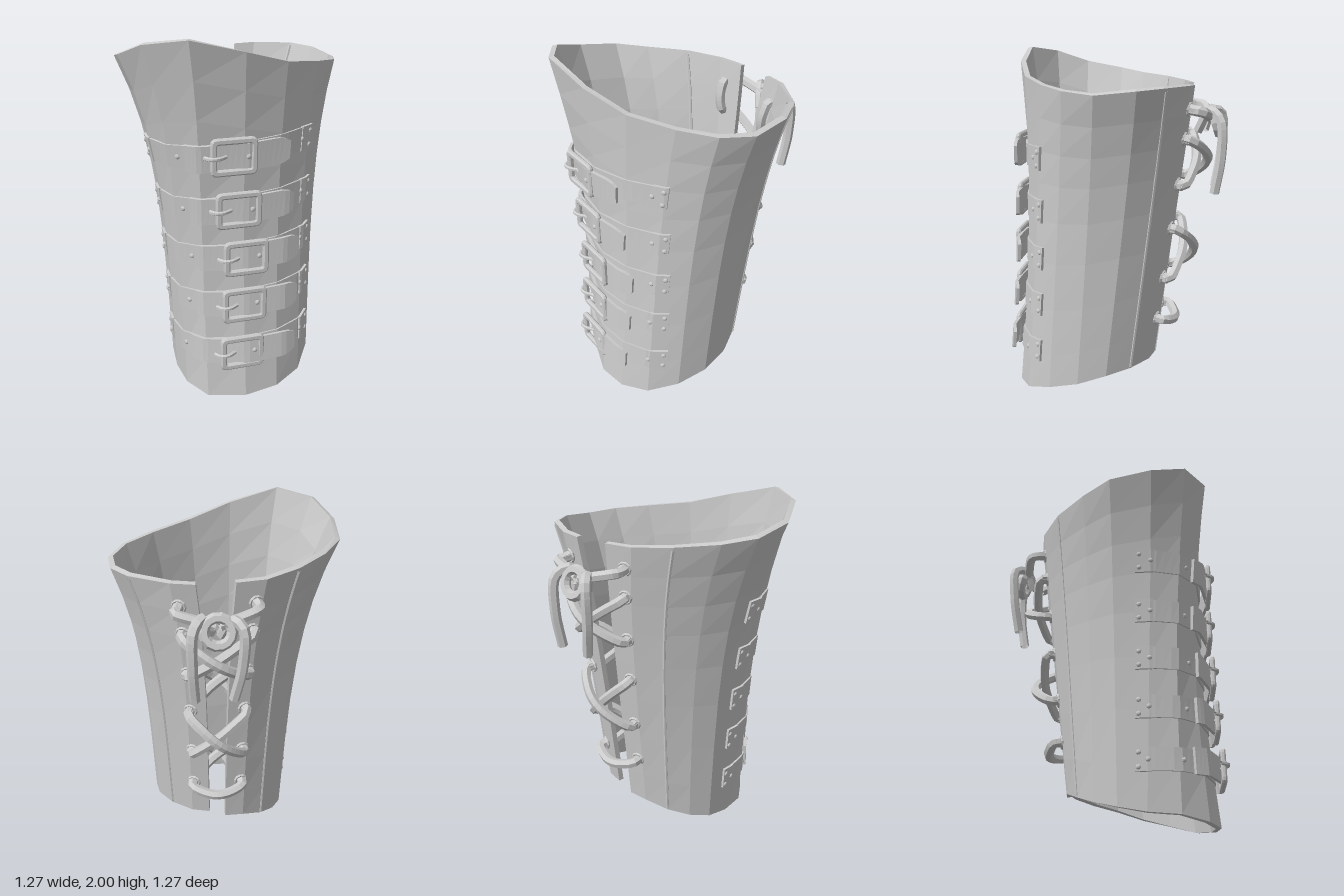
import * as THREE from 'three';

const mat = new THREE.MeshStandardMaterial({ color: 0xcccccc, flatShading: true, side: THREE.DoubleSide });
const V3 = (x, y, z) => new THREE.Vector3(x, y, z);

// Columns round the cuff from one slot edge to the other: top x, y, z, bottom x, y, z, waist dip
const COLS = [
  [-0.01, 1.82, -0.44, 0.03, 0.21, -0.25, 0], [-0.165, 1.82, -0.41, -0.08, 0.2, -0.235, 0],
  [-0.345, 1.83, -0.30, -0.2, 0.15, -0.17, 0], [-0.51, 1.84, -0.13, -0.29, 0.1, -0.07, 0],
  [-0.62, 1.86, 0.03, -0.35, 0.06, 0.05, 0], [-0.635, 1.9, 0.265, -0.36, 0.03, 0.2, 0],
  [-0.55, 1.97, 0.46, -0.34, 0.02, 0.37, 0.035], [-0.35, 2.0, 0.585, -0.25, 0, 0.51, 0.07],
  [-0.06, 1.93, 0.56, -0.05, 0.01, 0.58, 0.05], [0.19, 1.86, 0.475, 0.14, 0.03, 0.565, 0.03],
  [0.41, 1.83, 0.34, 0.3, 0.06, 0.48, 0.005], [0.565, 1.81, 0.2, 0.41, 0.12, 0.33, 0],
  [0.635, 1.795, 0.03, 0.45, 0.17, 0.16, 0], [0.61, 1.815, -0.18, 0.43, 0.22, 0, 0],
  [0.52, 1.825, -0.32, 0.35, 0.24, -0.13, 0], [0.315, 1.825, -0.435, 0.23, 0.25, -0.225, 0],
  [0.19, 1.82, -0.45, 0.13, 0.25, -0.25, 0],
];
const LAST = COLS.length - 1;
const { lerp, clamp } = THREE.MathUtils;

// Point of one column: flares in x toward the top, dips a little in front
function columnPoint(c, t) {
  const w = 0.3 * t + 0.7 * t ** 4;
  const dip = c[6] * Math.sin(Math.PI * clamp(t, 0, 1));
  return V3(lerp(c[3], c[0], w), lerp(c[4], c[1], t), lerp(c[5], c[2], t) - dip);
}
function skin(u, t) {
  u = clamp(u, 0, LAST);
  const i = Math.min(Math.floor(u), LAST - 1);
  return columnPoint(COLS[i], t).lerp(columnPoint(COLS[i + 1], t), u - i);
}
function heightToT(u, y) {
  const i = Math.min(Math.floor(u), LAST - 1), a = COLS[i], b = COLS[i + 1], f = u - i;
  const lo = lerp(a[4], b[4], f), hi = lerp(a[1], b[1], f);
  return (y - lo) / (hi - lo);
}
// Surface frame: across, up, outward
function frame(u, t) {
  const across = skin(u + 0.5, t).sub(skin(u - 0.5, t)).normalize();
  const up = skin(u, t + 0.03).sub(skin(u, t - 0.03)).normalize();
  const out = across.clone().cross(up).normalize();
  return { across, up: out.clone().cross(across), out };
}
const offsetT = (u, t, d) => skin(u, t).addScaledVector(frame(u, t).out, d);
const offsetY = (u, y, d) => offsetT(u, heightToT(u, y), d);
// Column position on the front half for a given x
function uAtX(x, y) {
  let a = 5, b = 12;
  for (let k = 0; k < 30; k++) {
    const m = (a + b) / 2;
    if (skin(m, heightToT(m, y)).x < x) a = m; else b = m;
  }
  return a;
}

// Solid swept through closed rings (outer side up, inner side down)
function loft(rings) {
  const m = rings[0].length, n = rings.length, index = [];
  const quad = (a, b, c, d) => index.push(a, b, c, a, c, d);
  for (let i = 0; i < n - 1; i++) for (let j = 0; j < m; j++) {
    const k = (j + 1) % m;
    quad(i * m + j, (i + 1) * m + j, (i + 1) * m + k, i * m + k);
  }
  const e = (n - 1) * m;
  for (let j = 0; j < m / 2 - 1; j++) {
    quad(j, j + 1, m - 2 - j, m - 1 - j);
    quad(e + m - 1 - j, e + m - 2 - j, e + j + 1, e + j);
  }
  const g = new THREE.BufferGeometry().setFromPoints(rings.flat());
  g.setIndex(index);
  g.computeVertexNormals();
  return g;
}
function add(parent, name, geometry) {
  const mesh = new THREE.Mesh(geometry, mat);
  mesh.name = name;
  parent.add(mesh);
  return mesh;
}
function tube(parent, name, points, r, segs = 18) {
  return add(parent, name, new THREE.TubeGeometry(new THREE.CatmullRomCurve3(points), segs, r, 6));
}
// Put a mesh on the cuff, its z pointing outward
function place(obj, u, y, d) {
  const t = heightToT(u, y), f = frame(u, t);
  obj.quaternion.setFromRotationMatrix(new THREE.Matrix4().makeBasis(f.across, f.up, f.out));
  obj.position.copy(offsetT(u, t, d));
}

// Leather band following the cuff; half-height may vary and the far end may lift off
function band(parent, name, u0, u1, y, half, inner, outer, lift = 0) {
  const n = 20, rings = [];
  for (let i = 0; i <= n; i++) {
    const f = i / n, u = lerp(u0, u1, f), h = half(f), up = lift * f;
    const yc = y + 0.04 * skin(u, heightToT(u, y)).x;
    rings.push([[-h, outer], [h, outer], [h, inner], [-h, inner]].map(([dy, d]) => offsetY(u, yc + dy, d + up)));
  }
  return add(parent, name, loft(rings));
}
function rivet(parent, u, y, d) {
  const g = new THREE.SphereGeometry(0.014, 8, 4, 0, Math.PI * 2, 0, Math.PI / 2).rotateX(Math.PI / 2).scale(1, 1, 0.6);
  place(add(parent, 'rivet', g), u, y, d);
}
function roundedRect(target, w, h, r) {
  const x = w / 2, y = h / 2;
  target.moveTo(-x + r, -y).lineTo(x - r, -y).quadraticCurveTo(x, -y, x, -y + r);
  target.lineTo(x, y - r).quadraticCurveTo(x, y, x - r, y).lineTo(-x + r, y);
  target.quadraticCurveTo(-x, y, -x, y - r).lineTo(-x, -y + r).quadraticCurveTo(-x, -y, -x + r, -y);
  return target;
}
function buckle() {
  const g = new THREE.Group();
  g.name = 'buckle';
  const shape = roundedRect(new THREE.Shape(), 0.23, 0.18, 0.025);
  shape.holes.push(roundedRect(new THREE.Path(), 0.195, 0.145, 0.015));
  add(g, 'buckleFrame', new THREE.ExtrudeGeometry(shape,
    { depth: 0.012, bevelSize: 0.008, bevelThickness: 0.008, bevelSegments: 1, curveSegments: 3 }));
  tube(g, 'buckleProng', [V3(-0.15, 0, -0.01), V3(-0.12, 0, 0.028), V3(-0.08, 0, 0.026), V3(-0.04, 0, 0)], 0.011, 8);
  return g;
}

// Strap with end plates, tongue, buckle and rivets
function strap(x, y) {
  const g = new THREE.Group();
  g.name = 'strap';
  const uEnd = uAtX(0.365, y), uPlate = uAtX(0.295, y), uBuckle = uAtX(x, y);
  band(g, 'strapBand', 4.65, uEnd - 0.1, y, () => 0.062, -0.005, 0.01);
  band(g, 'strapTongue', uAtX(x - 0.22, y), uAtX(x + 0.28, y),
    y, f => 0.072 * Math.sqrt(1 - Math.max(0, (f - 0.85) / 0.2) ** 2), 0.012, 0.03, 0.05);
  band(g, 'rightEndPlate', uPlate, uEnd, y, () => 0.066, -0.005, 0.015);
  band(g, 'leftEndPlate', 4.6, 5.1, y, () => 0.066, -0.005, 0.015);
  const yr = y + 0.013, yl = y - 0.02;
  for (const s of [-1, 1]) {
    rivet(g, uEnd - 0.12, yr + s * 0.038, 0.015);
    rivet(g, 4.7, yl + s * 0.038, 0.015);
  }
  rivet(g, uPlate, yr, 0.015);
  rivet(g, 5, yl, 0.015);
  rivet(g, uAtX(x - 0.255, y), y - 0.015, 0.01);
  rivet(g, uAtX(x + 0.07, y), y, 0.061);
  // Buckles all face straight forward
  const b = buckle();
  b.position.copy(skin(uBuckle, heightToT(uBuckle, y))).add(V3(0, 0, 0.05));
  g.add(b);
  return g;
}

// Lacing through eyelets on both sides of the slot
const EYE = { left: 15.2, right: 0.75 };
const LACE = 0.028;
function lace(parent, uA, yA, uB, yB, bulge, sag = 0) {
  const s = Math.sign(bulge);
  const a = offsetY(uA, yA, s * 0.04), b = offsetY(uB, yB, s * 0.04);
  const at = (f, k) => a.clone().lerp(b, f).add(V3(0, -sag * k, -bulge * k));
  tube(parent, bulge > 0 ? 'outerLace' : 'innerLace',
    [offsetY(uA, yA, -s * 0.04), a, at(0.25, 0.75), at(0.5, 1), at(0.75, 0.75), b, offsetY(uB, yB, -s * 0.04)], LACE);
}

export function createModel() {
  const model = new THREE.Group();
  model.name = 'bracer';

  // Flared cuff with a slot at the back
  const rows = [0, 0.12, 0.28, 0.44, 0.58, 0.7, 0.8, 0.9, 1];
  add(model, 'cuff', loft(COLS.map((c, i) => [
    ...rows.map(t => skin(i, t)), ...[...rows].reverse().map(t => offsetT(i, t, -0.03))])));

  // Raised seams beside the lacing, outside and inside
  for (const u of [2, 14]) for (const d of [-0.003, -0.03])
    tube(model, 'seam', rows.map(t => offsetT(u, 0.005 + t * 0.985, d)), 0.01);

  for (const [x, y] of [[-0.125, 1.42], [-0.095, 1.13], [-0.055, 0.86], [-0.065, 0.59], [-0.08, 0.31]])
    model.add(strap(x, y));

  // Laces: a bar at the bottom, two crossings above, joined inside
  const lacing = new THREE.Group();
  lacing.name = 'lacing';
  model.add(lacing);
  const { left, right } = EYE;
  for (const y of [0.5, 0.75, 1.04, 1.29, 1.54, 1.7]) for (const u of [left, right])
    place(add(lacing, 'eyelet', new THREE.TorusGeometry(0.032, 0.009, 5, 10)), u, y, 0.003);
  lace(lacing, right, 0.5, left, 0.5, 0.06, 0.03);
  for (const [y0, y1] of [[0.75, 1.04], [1.29, 1.54]]) {
    lace(lacing, right, y0, left, y1, 0.11);
    lace(lacing, left, y0, right, y1, 0.05);
  }
  for (const [y0, y1] of [[0.5, 0.75], [1.04, 1.29]]) {
    lace(lacing, right, y0, left, y1, -0.1);
    lace(lacing, left, y0, right, y1, -0.05);
  }
  for (const u of [left, right]) lace(lacing, u, 1.54, u, 1.7, -0.02);

  // Knot: leads from the top eyelets, a ring in the middle and a hanging tail on each side
  for (const [u, x, xIn] of [[left, 0.3, 0.1], [right, -0.11, 0.08]])
    tube(lacing, 'knotLead', [offsetY(u, 1.7, -0.04), offsetY(u, 1.7, 0.05), V3(x, 1.69, -0.49), V3(xIn, 1.64, -0.54)], LACE);
  const ring = add(lacing, 'knotRing', new THREE.TorusGeometry(0.07, LACE, 6, 14));
  ring.position.set(0.09, 1.62, -0.565);
  ring.rotation.x = 0.3;
  tube(lacing, 'knotTail', [V3(0.07, 1.57, -0.5), V3(0.02, 1.67, -0.54), V3(-0.03, 1.65, -0.6), V3(-0.03, 1.45, -0.6), V3(0.01, 1.24, -0.57)], LACE);
  tube(lacing, 'knotTail', [V3(0.12, 1.57, -0.47), V3(0.16, 1.68, -0.53), V3(0.21, 1.64, -0.59), V3(0.22, 1.45, -0.6), V3(0.21, 1.24, -0.57)], LACE);
  return model;
}
